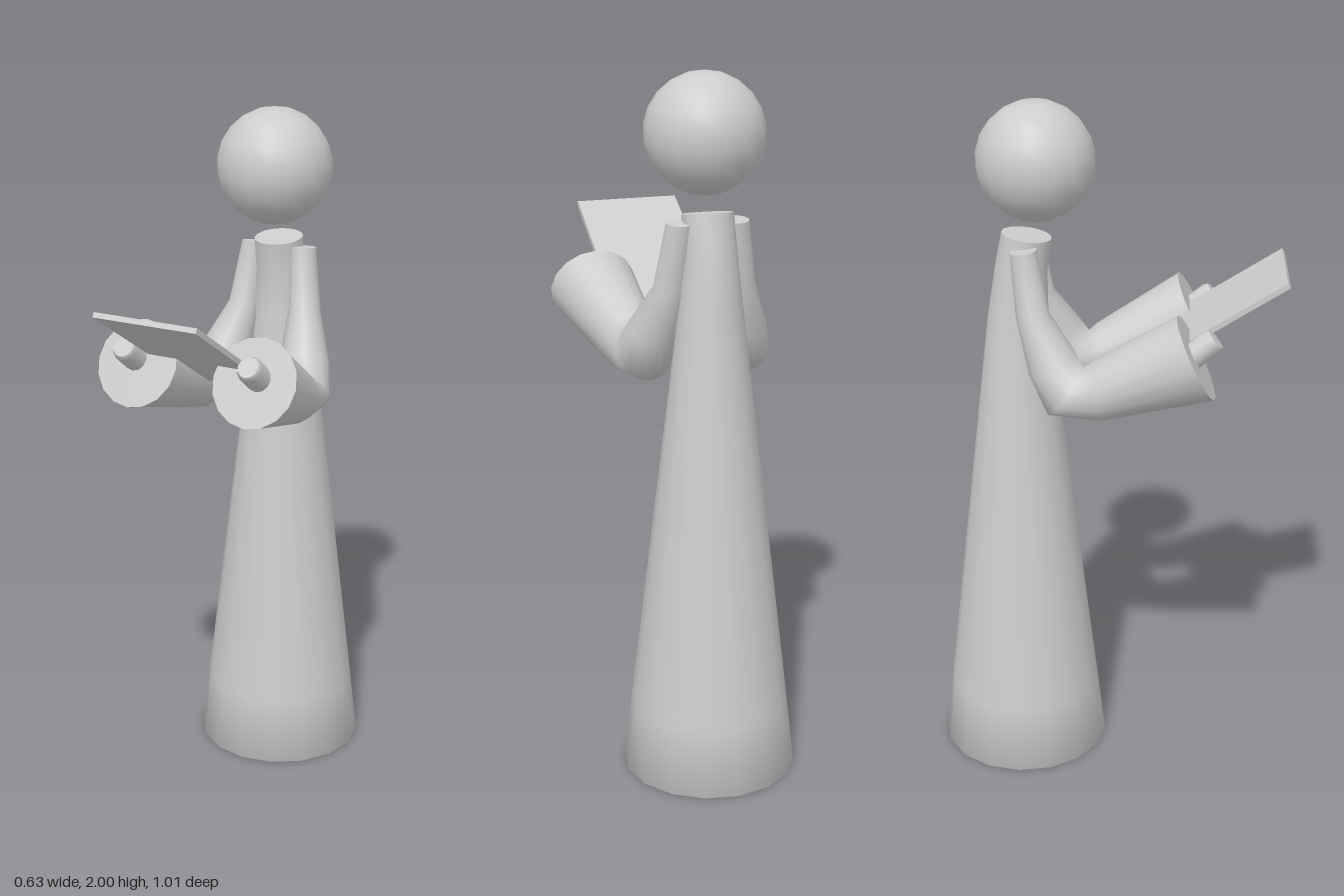
import * as THREE from 'three';

const grey = new THREE.MeshStandardMaterial({ color: 0xcccccc });
grey.name = 'plain grey';

// Smooth skin over round sections [x, y, z, radius, heading in degrees]; heading 0 is +z, 90 is up
function loft(sections, sides) {
  const pos = [], index = [];
  const addRing = ([x, y, z, r, deg]) => {
    const a = THREE.MathUtils.degToRad(deg), start = pos.length / 3;
    for (let j = 0; j < sides; j++) {
      const t = (j / sides) * Math.PI * 2, v = r * Math.sin(t);
      pos.push(x + r * Math.cos(t), y + v * Math.cos(a), z - v * Math.sin(a));
    }
    return start;
  };
  const starts = sections.map(addRing);
  for (let i = 0; i < starts.length - 1; i++) {
    for (let j = 0; j < sides; j++) {
      const k = (j + 1) % sides, a = starts[i], b = starts[i + 1];
      index.push(a + j, a + k, b + j, a + k, b + k, b + j);
    }
  }
  // flat end caps with their own vertices
  [sections[0], sections[sections.length - 1]].forEach((s, end) => {
    const ring = addRing(s), centre = pos.length / 3;
    pos.push(s[0], s[1], s[2]);
    for (let j = 0; j < sides; j++) {
      const k = (j + 1) % sides;
      index.push(centre, ring + (end ? j : k), ring + (end ? k : j));
    }
  });
  const geo = new THREE.BufferGeometry();
  geo.setAttribute('position', new THREE.Float32BufferAttribute(pos, 3));
  geo.setIndex(index);
  geo.computeVertexNormals();
  return geo;
}

export function createModel() {
  const model = new THREE.Group();
  model.name = 'robedFigure';
  const add = (name, geo) => {
    const mesh = new THREE.Mesh(geo, grey);
    mesh.name = name;
    model.add(mesh);
    return mesh;
  };

  // floating head
  add('head', new THREE.SphereGeometry(0.167, 16, 11)).position.set(0, 1.833, -0.195);

  // robe: softened base, long taper, neck leaning forward
  add('robe', loft([
    [0, 0, -0.255, 0.15, 90],
    [0, 0, -0.255, 0.25, 90],
    [0, 0.2, -0.255, 0.227, 90],
    [0, 1.38, -0.252, 0.087, 90],
    [0, 1.53, -0.24, 0.074, 86],
    [0, 1.622, -0.223, 0.071, 82],
  ], 16));

  for (const [side, s] of [['left', 1], ['right', -1]]) {
    // bent sleeve, widening to an open-looking cuff
    add(side + 'Sleeve', loft([
      [s * 0.08, 1.6, -0.226, 0.038, -83],
      [s * 0.1, 1.42, -0.202, 0.047, -78],
      [s * 0.132, 1.29, -0.146, 0.073, -65],
      [s * 0.147, 1.215, -0.108, 0.084, -38],
      [s * 0.155, 1.22, -0.02, 0.085, 10],
      [s * 0.187, 1.335, 0.255, 0.127, 26],
    ], 16));

    // hand stub
    add(side + 'Hand', loft([
      [s * 0.197, 1.31, 0.2, 0.037, 38],
      [s * 0.197, 1.386, 0.297, 0.037, 38],
      [s * 0.197, 1.394, 0.307, 0.03, 38],
    ], 12));
  }

  // tilted board held between the hands
  const board = add('board', new THREE.BoxGeometry(0.316, 0.015, 0.52));
  board.position.set(0, 1.397, 0.283);
  board.rotation.x = -Math.atan(0.6375);

  return model;
}
